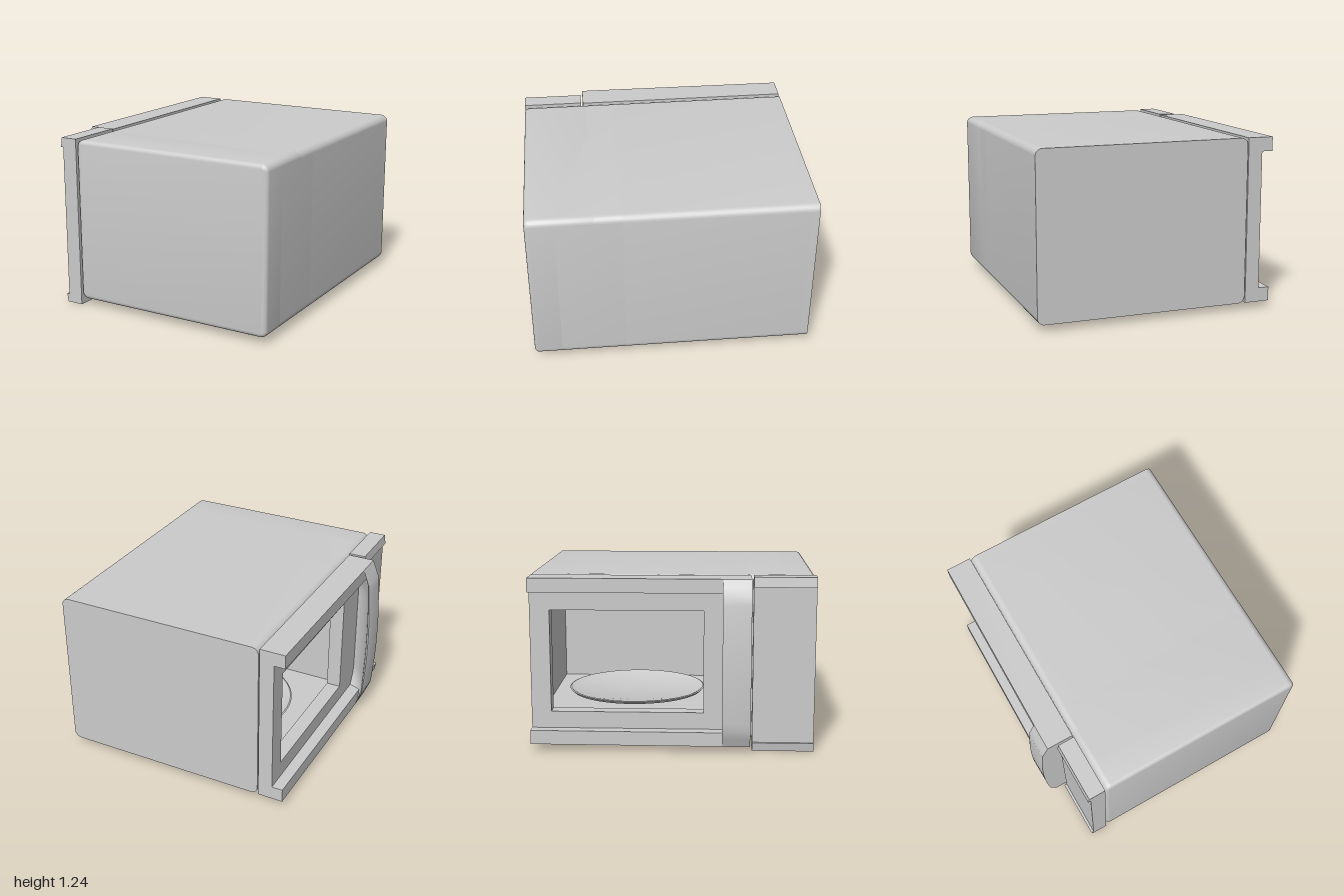
import * as THREE from 'three';
import { toCreasedNormals } from 'three/addons/utils/BufferGeometryUtils.js';

const material = new THREE.MeshStandardMaterial({ color: 0xcccccc, side: THREE.DoubleSide });
const FRONT = 1, BACK = -1;
const BOX = { x0: -0.628, x1: 0.905, y0: 0.05, y1: 1.235 };
const CAVITY = { x1: 0.62, y0: 0.22, y1: 1.06, z0: -0.95, z1: 0.34 };

function add(parent, name, geometry) {
  const mesh = new THREE.Mesh(toCreasedNormals(geometry, 0.6), material);
  mesh.name = name;
  parent.add(mesh);
  return mesh;
}

const polygon = (points) => new THREE.Shape(points.map(([x, y]) => new THREE.Vector2(x, y)));

// Outline of the casing, shrunk by an inset; notched on the door side for the oven cavity
function casingShape(notched, inset = 0) {
  const x0 = BOX.x0 + inset, x1 = BOX.x1 - inset, y0 = BOX.y0 + inset, y1 = BOX.y1 - inset;
  const r = 0.05 - inset;
  const s = new THREE.Shape();
  s.moveTo(x0 + r, y0);
  s.lineTo(x1 - r, y0);
  s.absarc(x1 - r, y0 + r, r, -Math.PI / 2, 0);
  s.lineTo(x1, y1 - r);
  s.absarc(x1 - r, y1 - r, r, 0, Math.PI / 2);
  s.lineTo(x0 + r, y1);
  s.absarc(x0 + r, y1 - r, r, Math.PI / 2, Math.PI);
  if (notched) {
    s.lineTo(x0, CAVITY.y1);
    s.lineTo(CAVITY.x1, CAVITY.y1);
    s.lineTo(CAVITY.x1, CAVITY.y0);
    s.lineTo(x0, CAVITY.y0);
  }
  s.lineTo(x0, y0 + r);
  s.absarc(x0 + r, y0 + r, r, Math.PI, Math.PI * 1.5);
  return s;
}

function extrudeZ(shape, z0, z1, options = {}) {
  const g = new THREE.ExtrudeGeometry(shape, { depth: z1 - z0, bevelEnabled: false, curveSegments: 8, ...options });
  return g.translate(0, 0, z0);
}

// Points are [x, z], raised from y0 to y1
function extrudeY(points, y0, y1, steps = 1) {
  const shape = polygon(points.map(([x, z]) => [x, -z]));
  const g = new THREE.ExtrudeGeometry(shape, { depth: y1 - y0, bevelEnabled: false, steps });
  return g.rotateX(-Math.PI / 2).translate(0, y0, 0);
}

function makeCasing() {
  const casing = new THREE.Group();
  casing.name = 'casing';
  add(casing, 'backWall', extrudeZ(casingShape(false), BACK, CAVITY.z0));
  add(casing, 'ovenCavity', extrudeZ(casingShape(true), CAVITY.z0, CAVITY.z1));
  add(casing, 'electronicsBay', extrudeZ(casingShape(false), CAVITY.z1, 0.8));
  // Rounded end; its inner bevel is buried in the electronics bay
  const b = 0.03;
  add(casing, 'roundedEnd', extrudeZ(casingShape(false, b), 0.5 + b, FRONT - b, {
    bevelEnabled: true, bevelSize: b, bevelThickness: b, bevelSegments: 4,
  }));
  return casing;
}

function makeTurntable() {
  const profile = [[0, 0.25], [0.4, 0.25], [0.5, 0.265], [0.52, 0.285], [0.51, 0.29], [0.47, 0.272], [0, 0.268]];
  const plate = new THREE.LatheGeometry(profile.map(([x, y]) => new THREE.Vector2(x, y)), 48);
  const group = new THREE.Group();
  group.name = 'turntable';
  add(group, 'plate', plate);
  add(group, 'hub', new THREE.CylinderGeometry(0.1, 0.1, 0.04, 24).translate(0, 0.235, 0));
  group.position.set(0, 0, (CAVITY.z0 + CAVITY.z1) / 2);
  return group;
}

// Bowed grip: the overhanging lip swells at mid height and flares into the rims
function makeHandleGeometry() {
  const { y0, y1 } = BOX;
  const g = extrudeY([
    [-0.7, 0.55], [-0.903, 0.55], [-0.907, 0.37], [-0.9, 0.352], [-0.885, 0.36],
    [-0.868, 0.4], [-0.84, 0.435], [-0.8, 0.475], [-0.74, 0.515], [-0.7, 0.515],
  ], y0, y1, 20);
  const p = g.attributes.position;
  for (let i = 0; i < p.count; i++) {
    const t = (p.getY(i) - y0) / (y1 - y0);
    const end = Math.min(t, 1 - t);
    const bow = end < 0.1 ? end * 6.5 : 0.65 + 0.35 * (1 - ((0.5 - end) / 0.4) ** 2);
    const flare = Math.max(0, 1 - end / 0.17);
    const x = p.getX(i), z = p.getZ(i);
    if (x < -0.83) p.setX(i, -0.83 + (x + 0.83) * bow);
    if (z > 0.4 && z < 0.54) p.setZ(i, THREE.MathUtils.lerp(z, 0.4, flare));
  }
  return g;
}

function makeDoor() {
  const door = new THREE.Group();
  door.name = 'door';
  // Slab with the window opening, drawn in [z, y] and thickened towards -x
  const slab = polygon([[-1, 0.05], [0.55, 0.05], [0.55, 1.235], [-1, 1.235]]);
  slab.holes.push(polygon([[-0.86, 0.27], [-0.86, 1.0], [0.22, 1.0], [0.22, 0.27]]));
  const slabGeometry = new THREE.ExtrudeGeometry(slab, { depth: 0.105, bevelEnabled: false });
  add(door, 'windowFrame', slabGeometry.rotateY(-Math.PI / 2).translate(-0.635, 0, 0));
  // Projecting rims along the top and bottom
  const rim = [[-0.635, -1], [-0.82, -1], [-0.83, 0.4], [-0.83, 0.55], [-0.635, 0.55]];
  add(door, 'bottomRim', extrudeY(rim, 0.05, 0.15));
  add(door, 'topRim', extrudeY(rim, 1.135, 1.235));
  add(door, 'handle', makeHandleGeometry());
  return door;
}

export function createModel() {
  const model = new THREE.Group();
  model.name = 'microwaveOven';
  model.add(makeCasing(), makeTurntable(), makeDoor());
  // Control panel with a lip at the top and bottom
  add(model, 'controlPanel', extrudeZ(polygon([
    [-0.632, 0], [-0.632, 1.24], [-0.755, 1.24], [-0.765, 1.17],
    [-0.745, 1.17], [-0.745, 0.06], [-0.765, 0.06], [-0.755, 0],
  ]), 0.565, FRONT));
  return model;
}
